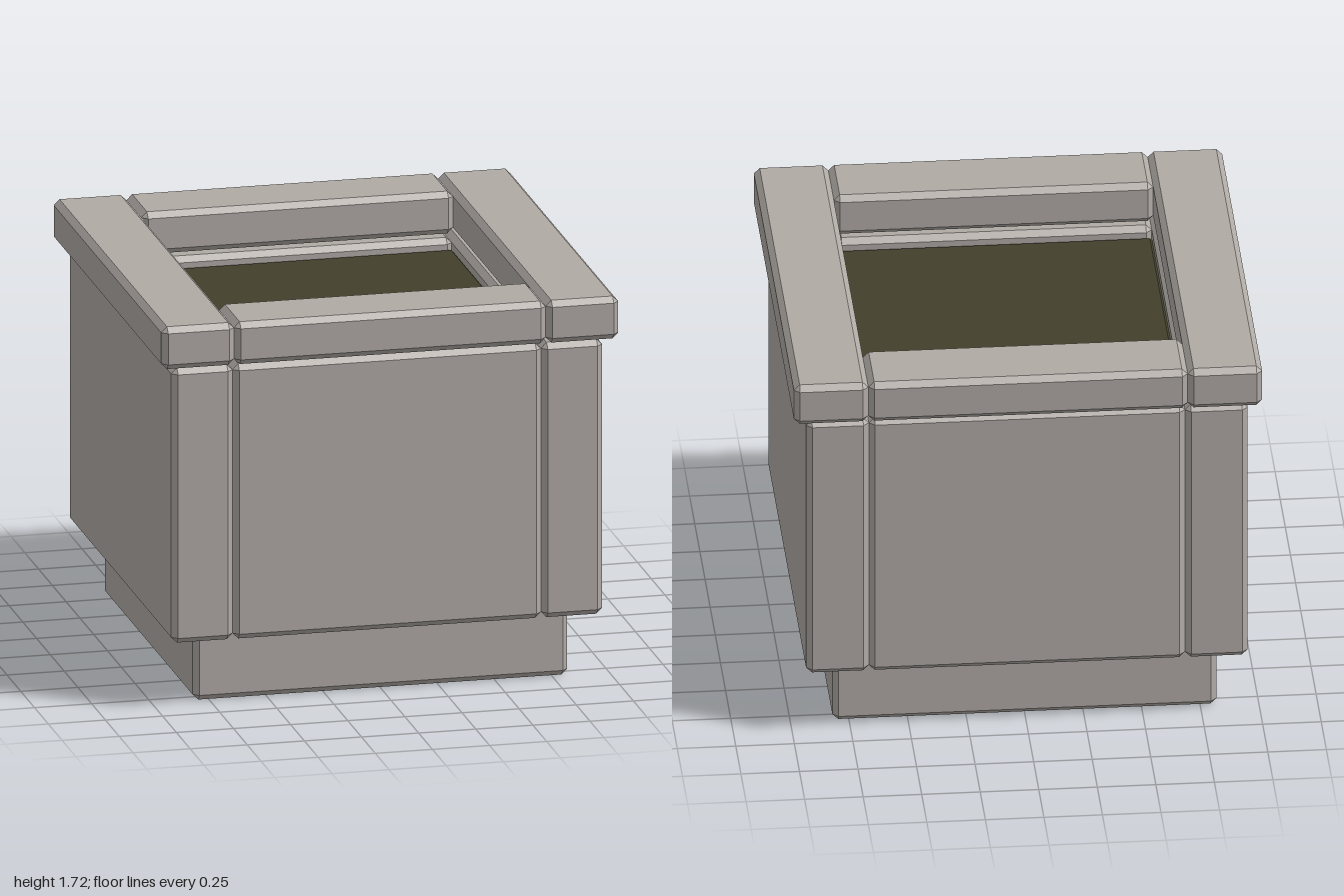
import * as THREE from 'three';
import { ConvexGeometry } from 'three/addons/geometries/ConvexGeometry.js';

// Box with every edge and corner cut by a flat chamfer c
function chamferBox(w, h, d, c) {
  const points = [];
  for (const sx of [-1, 1]) for (const sy of [-1, 1]) for (const sz of [-1, 1]) {
    const x = w / 2, y = h / 2, z = d / 2;
    points.push(
      new THREE.Vector3(sx * x, sy * (y - c), sz * (z - c)),
      new THREE.Vector3(sx * (x - c), sy * y, sz * (z - c)),
      new THREE.Vector3(sx * (x - c), sy * (y - c), sz * z));
  }
  return new ConvexGeometry(points);
}

export function createModel() {
  const group = new THREE.Group();
  const stone = new THREE.MeshStandardMaterial({ color: 0xb0aaa5, flatShading: true });
  stone.name = 'stone';
  const soil = new THREE.MeshStandardMaterial({ color: 0x42402b, flatShading: true });
  soil.name = 'soil';

  // Block given by its x, y and z ranges
  function block(name, [x0, x1], [y0, y1], [z0, z1], chamfer = 0.025, material = stone) {
    const mesh = new THREE.Mesh(chamferBox(x1 - x0, y1 - y0, z1 - z0, chamfer), material);
    mesh.position.set((x0 + x1) / 2, (y0 + y1) / 2, (z0 + z1) / 2);
    mesh.name = name;
    group.add(mesh);
  }

  // Square ring of four blocks: full-length sides, shorter front and back between them
  function ring(name, inner, outer, ys) {
    block(name + 'Left', [inner, outer], ys, [-outer, outer]);
    block(name + 'Right', [-outer, -inner], ys, [-outer, outer]);
    block(name + 'Front', [-inner, inner], ys, [inner, outer]);
    block(name + 'Back', [-inner, inner], ys, [-outer, -inner]);
  }

  // Recessed foot
  block('base', [-0.82, 0.82], [0, 0.36], [-0.82, 0.82]);
  // Planter walls and overhanging rim, with a thin shadow gap between
  ring('wall', 0.675, 0.943, [0.297, 1.517]);
  ring('rim', 0.682, 1, [1.532, 1.72]);
  // Soil fill just below the wall tops
  block('soil', [-0.674, 0.674], [0.32, 1.47], [-0.674, 0.674], 0.01, soil);

  return group;
}
